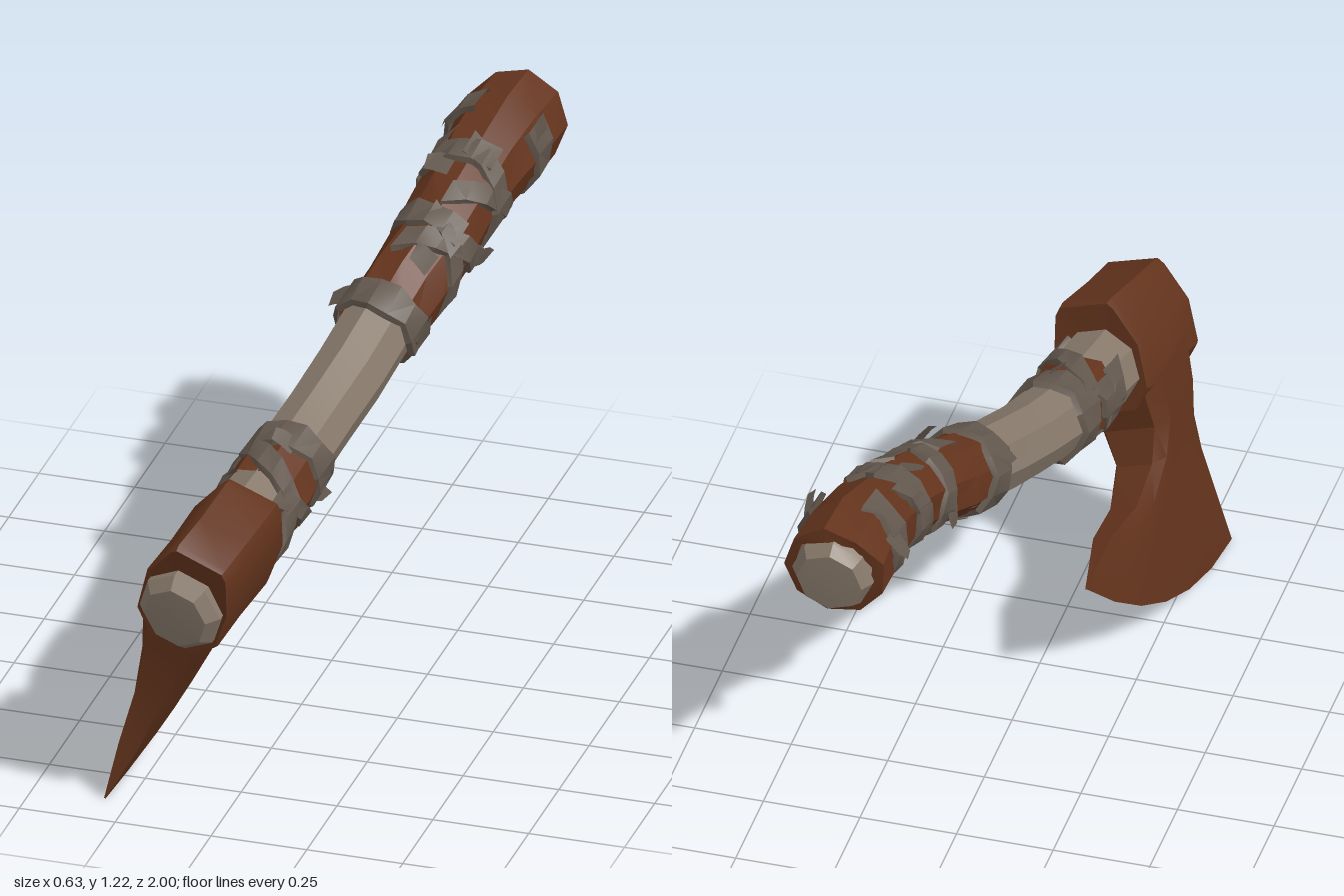
import * as THREE from 'three';
import { toCreasedNormals } from 'three/addons/utils/BufferGeometryUtils.js';

const mat = (name, color, side = THREE.FrontSide) => {
  const m = new THREE.MeshStandardMaterial({ color, side });
  m.name = name;
  return m;
};

// Handle centre line, from the head end (+z) to the pommel (-z)
const path = new THREE.CatmullRomCurve3([
  [-0.102, 0.585, 1], [-0.045, 0.655, 0.62], [-0.01, 0.715, 0.3], [0.045, 0.81, 0],
  [0.08, 0.89, -0.2], [0.13, 0.97, -0.4], [0.16, 1.05, -0.62], [0.185, 1.09, -0.85], [0.19, 1.08, -1],
].map((p) => new THREE.Vector3(...p)));
const lean = new THREE.Vector3(0.34, 0.94, 0);

// Point beside the handle: s sideways and u upwards from the centre line at depth z
function beside(z, s, u) {
  let lo = 0, hi = 1;
  for (let i = 0; i < 24; i++) {
    const mid = (lo + hi) / 2;
    if (path.getPoint(mid).z > z) lo = mid; else hi = mid;
  }
  const T = path.getTangent(lo);
  const S = new THREE.Vector3().crossVectors(T, lean).normalize();
  const U = new THREE.Vector3().crossVectors(S, T);
  return path.getPoint(lo).addScaledVector(S, s).addScaledVector(U, u);
}
const around = (z, a, r) => beside(z, r * Math.cos(a), r * Math.sin(a));

// Skin over rows of points
function skin(rows, closed, crease = 0.6) {
  const n = rows[0].length, index = [];
  for (let i = 0; i < rows.length - 1; i++) {
    for (let j = 0; j < (closed ? n : n - 1); j++) {
      const k = (j + 1) % n, a = i * n + j, b = i * n + k;
      index.push(a, a + n, b + n, a, b + n, b);
    }
  }
  const g = new THREE.BufferGeometry();
  g.setAttribute('position', new THREE.Float32BufferAttribute(rows.flat().flatMap((p) => p.toArray()), 3));
  g.setIndex(index);
  return toCreasedNormals(g.toNonIndexed(), crease);
}

// Sleeve of [z, radius] rings, slightly uneven by wob
function sleeve(rings, sides, wob = 0, crease = 0.9) {
  return skin(rings.map(([z, r], i) => Array.from({ length: sides }, (_, j) => {
    const w = r ? wob * Math.sin(j * 2.4 + i * 1.7) : 0;
    return around(z + w, (j + 0.5) / sides * Math.PI * 2, r + w);
  })), true, crease);
}

// Strap wound from (z0, a0) to (z1, a1), lifted on the radius given by rad(z)
function strap(z0, a0, z1, a1, w, rad) {
  const n = Math.max(4, Math.ceil(Math.abs(a1 - a0) / 0.5));
  const rows = [[-1, -0.014], [-0.85, 0], [0.85, 0], [1, -0.014]].map(([e, d]) =>
    Array.from({ length: n + 1 }, (_, i) => {
      const t = i / n, z = z0 + (z1 - z0) * t;
      const wave = 1 + 0.15 * Math.sin(i * 2.3 + a0);
      return around(z + e * w * wave, a0 + (a1 - a0) * t, rad(z) + d + 0.003 * Math.sin(i * 3.1 + e));
    }));
  return skin(rows, false, 0.4);
}

export function createModel() {
  const wood = mat('pale wood', 0x87796b);
  const rust = mat('rusted metal', 0x62331c);
  const leather = mat('brown leather', 0x64341d, THREE.DoubleSide);
  const cloth = mat('grey strap', 0x62574d, THREE.DoubleSide);
  const model = new THREE.Group();
  const add = (name, geo, m, parent = model) => {
    const mesh = new THREE.Mesh(geo, m);
    mesh.name = name;
    parent.add(mesh);
  };

  // Wooden handle with domed ends
  add('handle', sleeve([
    [0.99, 0], [0.985, 0.085], [0.955, 0.112], [0.9, 0.112], [0.62, 0.105], [0.45, 0.098], [0.3, 0.096], [0.15, 0.094],
    [0, 0.096], [-0.2, 0.096], [-0.4, 0.096], [-0.6, 0.1], [-0.85, 0.108], [-0.96, 0.105], [-0.99, 0.085], [-0.995, 0],
  ], 8, 0, 0.6), wood);

  // Leather grip, neck wrap
  add('gripLeather', sleeve([
    [-0.14, 0.102], [-0.28, 0.106], [-0.42, 0.108], [-0.56, 0.108], [-0.7, 0.116], [-0.83, 0.128], [-0.945, 0.133], [-0.95, 0.105],
  ], 9, 0.005, 0.5), leather);
  add('neckLeather', sleeve([[0.49, 0.106], [0.44, 0.108], [0.36, 0.104]], 9, 0.005, 0.5), leather);

  // Grey straps: [z0, a0, z1, a1, half width]
  const straps = new THREE.Group();
  straps.name = 'straps';
  model.add(straps);
  const rad = (z) => (z > 0 ? 0.106 + z * 0.018 : 0.116 + Math.max(0, -z - 0.55) * 0.08);
  [
    [-0.165, 0, -0.185, 6.6, 0.045],
    [-0.22, -1.6, -0.44, 1.9, 0.028],
    [-0.42, 1, -0.45, 4.6, 0.038],
    [-0.34, 2.2, -0.5, -1.4, 0.036],
    [-0.48, -1.5, -0.65, 1.9, 0.036],
    [-0.64, 1.2, -0.6, 4.6, 0.038],
    [-0.5, 1.8, -0.7, -1.4, 0.036],
    [-0.48, 4.9, -0.68, 2.4, 0.034],
    [-0.8, 2.2, -0.81, 4.3, 0.04],
    [-0.79, -1, -0.8, 1, 0.045],
    [0.325, 0, 0.335, 6.5, 0.05],
    [0.36, 2.9, 0.6, -0.2, 0.042],
    [0.4, -0.7, 0.56, 1.2, 0.036],
    [0.42, 2.7, 0.55, 5.8, 0.05],
    [0.52, 2.6, 0.42, 5.2, 0.04],
  ].forEach(([a, b, c, d, w]) => add('strap', strap(a, b, c, d, w, rad), cloth, straps));

  // Torn flaps standing off the wraps
  const flaps = new THREE.Group();
  flaps.name = 'tornFlaps';
  model.add(flaps);
  [-0.17, -0.2, -0.31, -0.42, -0.46, -0.58, -0.64, -0.8, -0.84, 0.3, 0.36].forEach((z, i) => {
    const a = i * 2.4 + 2.6, r = rad(z);
    const rows = [
      [around(z - 0.03, a, r - 0.01), around(z + 0.03, a, r - 0.01)],
      [around(z - 0.025, a + 0.35, r + 0.008), around(z + 0.03, a + 0.35, r + 0.008)],
      [around(z - 0.01, a + 0.5, r + 0.024), around(z + 0.03, a + 0.48, r + 0.016)],
    ];
    add('flap', skin(rows, false), cloth, flaps);
  });

  // Axe head: socket around the handle
  const head = new THREE.Group();
  head.name = 'axeHead';
  model.add(head);
  const section = [
    [0.12, 0.05], [0.088, 0.152], [0.07, 0.172], [-0.066, 0.172], [-0.08, 0.155],
    [-0.122, 0.05], [-0.115, -0.07], [-0.065, -0.125], [0.06, -0.125], [0.115, -0.07],
  ];
  const socket = [[0.94, 0.5], [0.945, 0.95], [0.93, 0.99], [0.8, 0.97], [0.66, 1], [0.635, 0.97], [0.64, 0.5]];
  add('socket', skin(socket.map(([z, k]) => section.map(([s, u]) => {
    const p = beside(z, s * k, u * k);
    p.z -= z > 0.9 ? 0.12 * (u * k + 0.1) * 0.3 : 0;
    return p;
  })), true, 0.5), rust, head);

  // Axe head: bearded blade; rows of front z, y, back z, y, bow, half thickness
  const normal = new THREE.Vector3(1, -0.363, 0.059).normalize();
  const rows = [
    [0.91, 0.6, 0.625, 0.6, 0, 0.116],
    [0.88, 0.48, 0.63, 0.48, 0, 0.098],
    [0.865, 0.38, 0.585, 0.405, 0.01, 0.07],
    [0.855, 0.28, 0.46, 0.365, 0.025, 0.053],
    [0.86, 0.14, 0.31, 0.375, 0.06, 0.036],
    [0.885, 0.003, 0.145, 0.333, 0.092, 0.003],
  ].map(([z0, y0, z1, y1, bow, th]) => {
    const n = 6;
    const point = (j, side) => {
      const t = j / n, b = bow * 4 * t * (1 - t);
      const z = z0 + (z1 - z0) * t - b * 0.41, y = y0 + (y1 - y0) * t - b * 0.91;
      const x = -0.262 - 0.059 * z + 0.363 * y;
      const thick = th * (j === 0 || j === n ? 0.7 : 1);
      return new THREE.Vector3(x, y, z).addScaledVector(normal, side * thick);
    };
    const cols = [...Array(n + 1).keys()];
    return [...cols.map((j) => point(j, 1)), ...cols.reverse().map((j) => point(j, -1))];
  });
  add('blade', skin(rows, true, 0.5), rust, head);

  return model;
}
